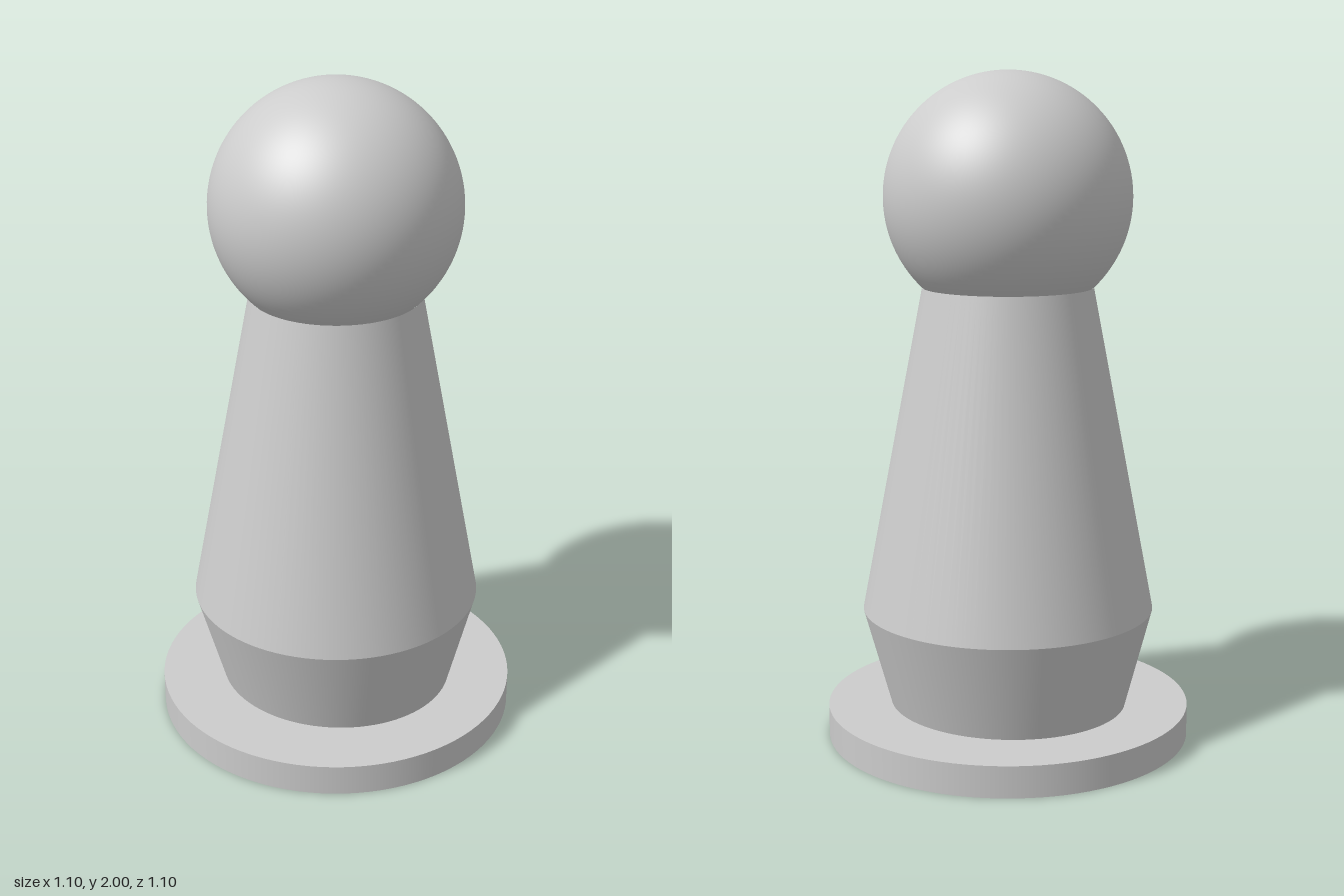
import * as THREE from 'three';

export function createModel() {
  const group = new THREE.Group();
  const grey = new THREE.MeshStandardMaterial({ color: 0xcccccc });
  grey.name = 'light grey';

  const add = (name, geometry, y) => {
    const mesh = new THREE.Mesh(geometry, grey);
    mesh.name = name;
    mesh.position.y = y;
    group.add(mesh);
  };
  // Round section between two heights
  const section = (rTop, rBottom, y0, y1, open) => [
    new THREE.CylinderGeometry(rTop, rBottom, y1 - y0, 96, 1, open), (y0 + y1) / 2];

  // Flat foot disc
  add('base', ...section(0.55, 0.55, 0, 0.095, false));

  // Flared lower body, its foot slightly narrower front to back
  const [skirt, skirtY] = section(0.44, 0.365, 0.095, 0.395, true);
  const p = skirt.attributes.position;
  for (let i = 0; i < p.count; i++) {
    if (p.getY(i) < 0) p.setZ(i, p.getZ(i) * 0.955);
  }
  skirt.computeVertexNormals();
  // Match the normals across the cylinder's seam
  const n = skirt.attributes.normal;
  for (const row of [0, 97]) {
    const v = new THREE.Vector3().fromBufferAttribute(n, row)
      .add(new THREE.Vector3().fromBufferAttribute(n, row + 96)).normalize();
    for (const i of [row, row + 96]) n.setXYZ(i, v.x, v.y, v.z);
  }
  add('lowerBody', skirt, skirtY);

  // Long tapering upper body
  add('upperBody', ...section(0.254, 0.44, 0.395, 1.37, true));

  // Ball head
  add('head', new THREE.SphereGeometry(0.366, 96, 64), 1.634);

  return group;
}
